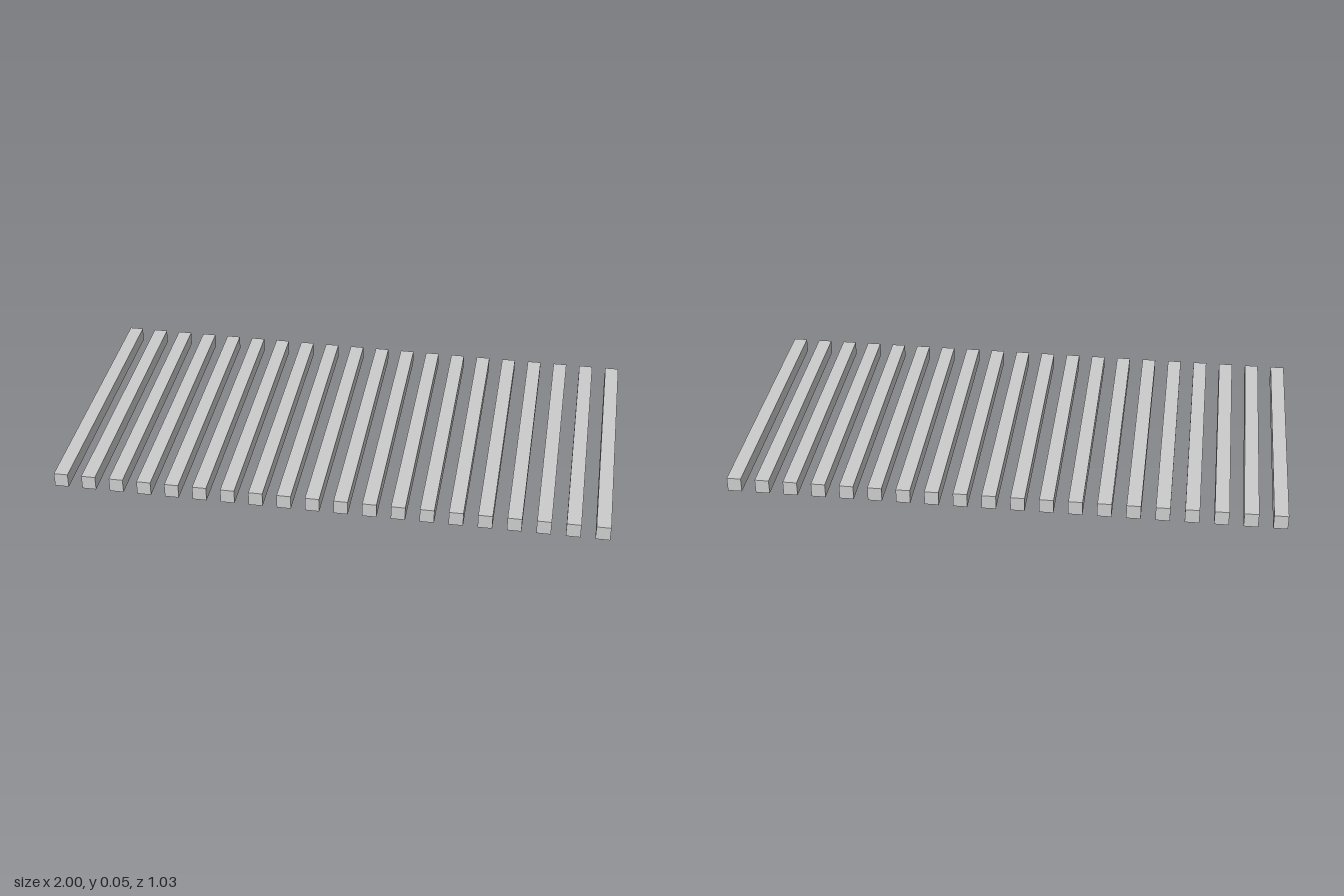
import * as THREE from 'three';

const COUNT = 20;
const WIDTH = 0.051, HEIGHT = 0.053, DEPTH = 1.032;

export function createModel() {
  const model = new THREE.Group();
  model.name = 'slatDeck';
  const material = new THREE.MeshStandardMaterial({ color: 0xcccccc });
  const geometry = new THREE.BoxGeometry(WIDTH, HEIGHT, DEPTH);
  const pitch = (2 - WIDTH) / (COUNT - 1);

  // evenly spaced parallel slats resting on the ground
  for (let i = 0; i < COUNT; i++) {
    const slat = new THREE.Mesh(geometry, material);
    slat.name = `slat${i + 1}`;
    slat.position.set((i - (COUNT - 1) / 2) * pitch, HEIGHT / 2, 0);
    model.add(slat);
  }
  return model;
}
